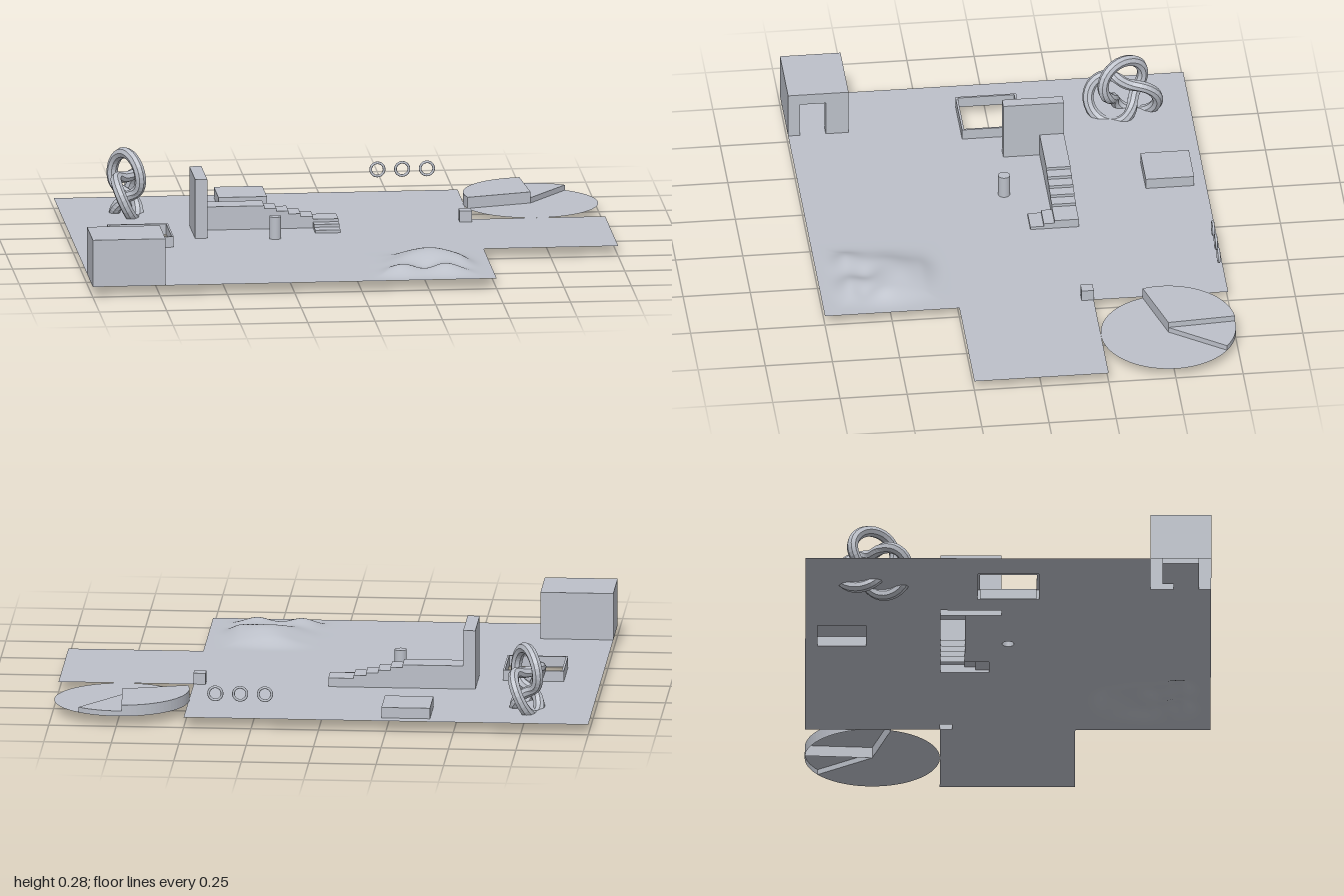
import * as THREE from 'three';
import { mergeGeometries } from 'three/addons/utils/BufferGeometryUtils.js';

const FLOOR = 0.03;
const V = (p) => new THREE.Vector2(p[0], -p[1]);
const rect = (x0, x1, z0, z1) => [[x0, z0], [x1, z0], [x1, z1], [x0, z1]];

// arc of [x, z] points, angles in degrees
function arc(cx, cz, r, a0, a1, n) {
  return Array.from({ length: n + 1 }, (_, i) => {
    const a = THREE.MathUtils.degToRad(a0 + (a1 - a0) * i / n);
    return [cx + r * Math.cos(a), cz + r * Math.sin(a)];
  });
}

// horizontal sheet with optional holes
function sheet(pts, y, holes = []) {
  const shape = new THREE.Shape(pts.map(V));
  holes.forEach((h) => shape.holes.push(new THREE.Path(h.map(V))));
  return new THREE.ShapeGeometry(shape).rotateX(-Math.PI / 2).translate(0, y, 0).toNonIndexed();
}

// upright walls along a closed outline, leaving out the listed edges
function walls(pts, y0, y1, skip = []) {
  const pos = [], uv = [];
  pts.forEach(([ax, az], i) => {
    if (skip.includes(i)) return;
    const [bx, bz] = pts[(i + 1) % pts.length];
    pos.push(ax, y0, az, ax, y1, az, bx, y1, bz, ax, y0, az, bx, y1, bz, bx, y0, bz);
    uv.push(0, 0, 0, 1, 1, 1, 0, 0, 1, 1, 1, 0);
  });
  const g = new THREE.BufferGeometry();
  g.setAttribute('position', new THREE.Float32BufferAttribute(pos, 3));
  g.setAttribute('uv', new THREE.Float32BufferAttribute(uv, 2));
  g.computeVertexNormals();
  return g;
}

// raised block, open underneath
function block(pts, top, holes = [], skip = []) {
  return mergeGeometries([
    sheet(pts, top, holes), walls(pts, FLOOR, top, skip),
    ...holes.map((h) => walls(h, FLOOR, top)),
  ]);
}

export function createModel() {
  const model = new THREE.Group();
  const grey = new THREE.MeshStandardMaterial({ color: 0xbcc0c9, side: THREE.DoubleSide });
  grey.name = 'grey';
  const add = (name, geometry) => {
    const mesh = new THREE.Mesh(geometry, grey);
    mesh.name = name;
    model.add(mesh);
    return mesh;
  };

  const rimOuter = rect(-0.863, -0.638, -0.113, 0.113);
  const rimInner = rect(-0.855, -0.645, -0.105, 0.105);
  const plate = rect(-0.41, -0.23, -0.705, -0.525);
  const pillar = arc(-0.25, 0, 0.022, 0, 348.75, 31);
  const stairs = [[-0.545, -0.25], [0, -0.25], [0, -0.07], [-0.094, -0.07],
    [-0.094, -0.16], [-0.5, -0.16], [-0.5, -0.025], [-0.545, -0.025]];

  // Floor, cut away under every raised part
  add('floor', sheet([
    [-1, -0.75], [0.5, -0.75], [0.499, -0.25], [0.455, -0.25], [0.455, -0.205], [0.5, -0.205],
    [0.5, -0.25], [1, -0.25], [1, 0.25], [0, 0.25], [0, 0.75], [-0.73, 0.75], [-0.73, 0.525], [-1, 0.525],
  ], FLOOR, [rimOuter, plate, pillar, stairs]));

  // Pit rim, plate, small cube and pillar
  add('pitRim', block(rimOuter, 0.07, [rimInner]));
  add('squarePlate', block(plate, 0.07));
  add('smallCube', block(rect(0.455, 0.5, -0.25, -0.205), 0.072));
  add('pillar', block(pillar, 0.114));

  // Tall wall, raised platform and staircase that turns at a landing
  add('tallWall', block(rect(-0.545, -0.5, -0.25, -0.025), 0.253));
  add('platform', block(rect(-0.5, -0.275, -0.25, -0.16), 0.118));
  const treads = [-0.275, -0.23, -0.185, -0.14, -0.094];
  for (let i = 0; i < 4; i++) {
    add('stairTread', block(rect(treads[i], treads[i + 1], -0.25, -0.16), 0.107 - i * 0.011));
  }
  add('landing', block(rect(-0.094, 0, -0.25, -0.16), 0.063));
  add('lowerStep', block(rect(-0.094, 0, -0.16, -0.12), 0.052));
  add('bottomStep', block(rect(-0.094, 0, -0.12, -0.07), 0.041));

  // Hut: outer shell, doorway face, and room with passage
  add('hutShell', block(rect(-1, -0.73, 0.525, 0.75), 0.207, [], [1]));
  const face = new THREE.Shape([[-0.75, FLOOR], [-0.705, FLOOR], [-0.705, 0.165], [-0.61, 0.165],
    [-0.61, FLOOR], [-0.525, FLOOR], [-0.525, 0.207], [-0.75, 0.207]].map((p) => new THREE.Vector2(...p)));
  add('hutDoorFace', new THREE.ShapeGeometry(face).rotateY(Math.PI / 2).translate(-0.73, 0, 0));
  const room = [[-0.955, 0.57], [-0.775, 0.57], [-0.775, 0.61], [-0.73, 0.61], [-0.73, 0.705], [-0.955, 0.705]];
  add('hutRoom', block(room, 0.165, [], [3]));
  add('hutFloor', sheet(room, FLOOR));

  // Round stage with two raised sectors
  const sector = (a0, a1, n) => [[0.747, -0.5], ...arc(0.747, -0.5, 0.25, a0, a1, n)];
  add('stageFloor', sheet(sector(-54, 164, 48), FLOOR));
  add('highSector', block(sector(164, 266, 24), 0.072));
  add('lowSector', block(sector(266, 306, 10), 0.05));

  // Uneven mound filling the front corner of the floor
  const bumps = [[0.31, 0.45, 0.042, 0.07], [0.2, 0.5, 0.026, 0.06], [0.16, 0.64, 0.032, 0.05],
    [0.33, 0.64, 0.034, 0.055], [0.4, 0.52, 0.02, 0.05], [0.23, 0.37, 0.018, 0.06],
    [0.25, 0.57, -0.014, 0.035], [0.38, 0.59, -0.012, 0.03]];
  const mound = new THREE.PlaneGeometry(0.5, 0.5, 48, 48).rotateX(-Math.PI / 2).translate(0.25, FLOOR, 0.5);
  const p = mound.attributes.position;
  for (let i = 0; i < p.count; i++) {
    const x = p.getX(i), z = p.getZ(i);
    const edge = Math.max(Math.abs(x - 0.25), Math.abs(z - 0.5));
    const fade = 1 - THREE.MathUtils.smoothstep(edge, 0.13, 0.24);
    const h = bumps.reduce((s, [bx, bz, a, w]) =>
      s + a * Math.exp(-((x - bx) ** 2 + (z - bz) ** 2) / (2 * w * w)), 0);
    p.setY(i, FLOOR + Math.max(0, h) * fade);
  }
  mound.computeVertexNormals();
  add('mound', mound);

  // Upright knot sinking slightly through the floor
  const knot = new THREE.TorusKnotGeometry(0.09, 0.021, 96, 8, 2, 3).toNonIndexed();
  knot.computeVertexNormals();
  add('knot', knot.rotateZ(Math.PI / 2).rotateY(Math.PI / 2).translate(-0.755, 0.117, -0.498));

  // Three floating rings
  for (const x of [0.2, 0.292, 0.384]) {
    add('ring', new THREE.TorusGeometry(0.025, 0.005, 8, 32).translate(x, 0.118, -0.727));
  }
  return model;
}
